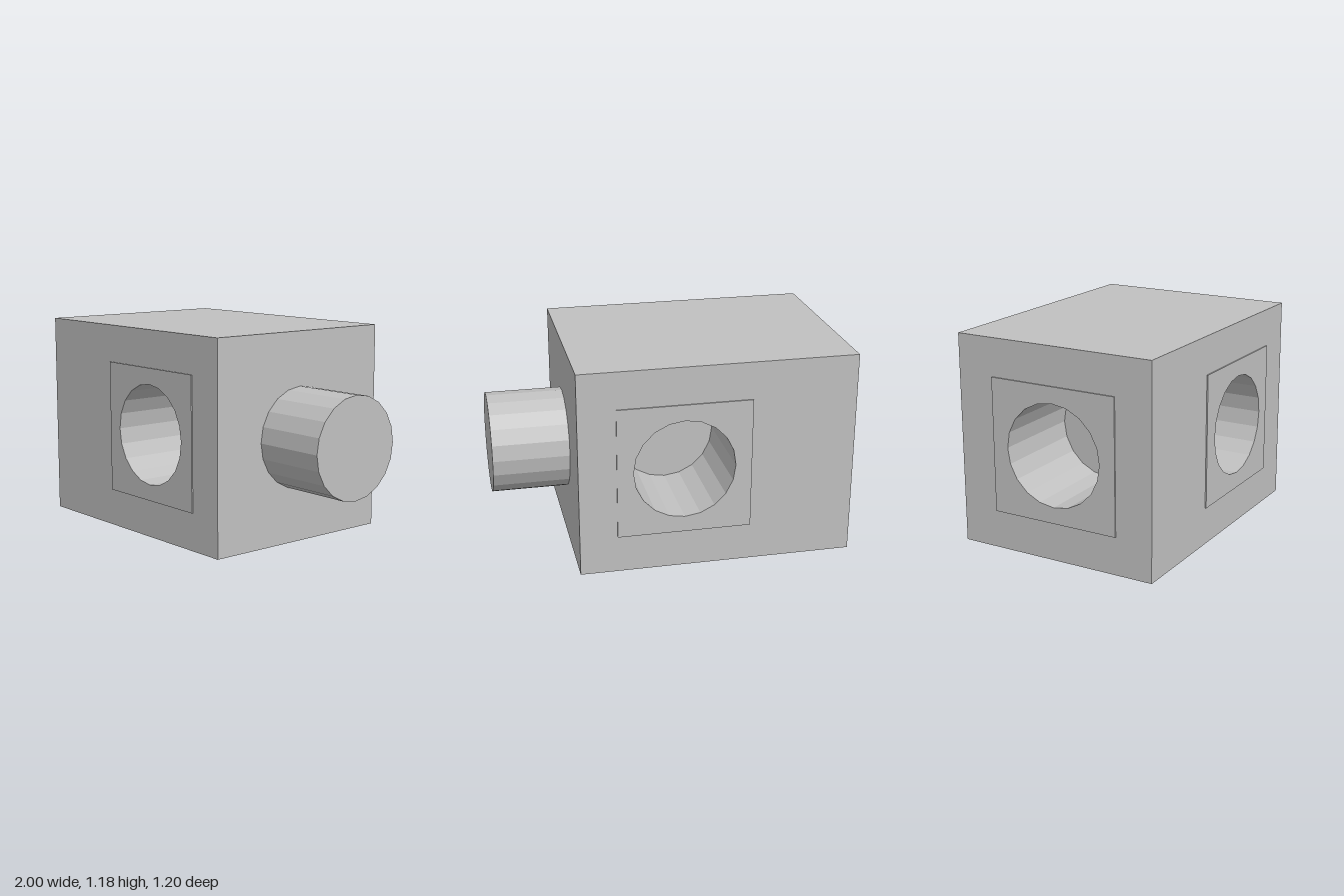
import * as THREE from 'three';

const X0 = -0.993, X1 = 0.568, H = 1.185, D = 0.592; // body left, right, height, half depth
const CX = -0.022, CY = H / 2, R = 0.287, SIDES = 20;
const PLATE = 0.757, PLATE_T = 0.007, DEPTH = 0.54;

// Rectangle around the origin of the hole, with a polygonal hole cut out
function holedRect(x0, x1, halfHeight) {
  const shape = new THREE.Shape([
    new THREE.Vector2(x0, -halfHeight), new THREE.Vector2(x1, -halfHeight),
    new THREE.Vector2(x1, halfHeight), new THREE.Vector2(x0, halfHeight),
  ]);
  const ring = [];
  for (let i = 0; i < SIDES; i++) {
    const a = -i / SIDES * Math.PI * 2;
    ring.push(new THREE.Vector2(Math.cos(a) * R, Math.sin(a) * R));
  }
  shape.holes.push(new THREE.Path(ring));
  return shape;
}

export function createModel() {
  const model = new THREE.Group();
  model.name = 'connectorBlock';
  const grey = new THREE.MeshStandardMaterial({ color: 0xc0c0c0, flatShading: true });
  grey.name = 'grey';

  const add = (parent, name, geometry) => {
    const mesh = new THREE.Mesh(geometry, grey);
    mesh.name = name;
    parent.add(mesh);
    return mesh;
  };

  // Wall with a raised square plate and a blind round socket, facing local +z
  function socketWall(name, x0, x1) {
    const group = new THREE.Group();
    group.name = name;
    add(group, 'wall', new THREE.ShapeGeometry(holedRect(x0, x1, H / 2)));
    add(group, 'plate', new THREE.ExtrudeGeometry(
      holedRect(-PLATE / 2, PLATE / 2, PLATE / 2), { depth: PLATE_T, bevelEnabled: false }));
    // inside-out tube, so its inner surface shows
    const bore = new THREE.CylinderGeometry(R, R, DEPTH, SIDES, 1, true);
    bore.rotateX(Math.PI / 2).scale(-1, 1, 1).translate(0, 0, -DEPTH / 2);
    add(group, 'socketBore', bore);
    add(group, 'socketFloor', new THREE.CircleGeometry(R, SIDES).translate(0, 0, -DEPTH));
    model.add(group);
    return group;
  }
  socketWall('frontSocket', X0 - CX, X1 - CX).position.set(CX, CY, D);
  const back = socketWall('backSocket', CX - X1, CX - X0);
  back.position.set(CX, CY, -D);
  back.rotation.y = Math.PI;
  const end = socketWall('endSocket', -D, D);
  end.position.set(X0, CY, 0);
  end.rotation.y = -Math.PI / 2;

  // Plain faces of the body
  const mid = (X0 + X1) / 2, W = X1 - X0;
  add(model, 'topFace', new THREE.PlaneGeometry(W, 2 * D).rotateX(-Math.PI / 2)).position.set(mid, H, 0);
  add(model, 'bottomFace', new THREE.PlaneGeometry(W, 2 * D).rotateX(Math.PI / 2)).position.set(mid, 0, 0);
  add(model, 'pegFace', new THREE.PlaneGeometry(2 * D, H).rotateY(Math.PI / 2)).position.set(X1, CY, 0);

  // Round peg
  const peg = new THREE.CylinderGeometry(R, R, 1 - X1, SIDES).rotateZ(-Math.PI / 2);
  add(model, 'peg', peg).position.set((1 + X1) / 2, CY, 0);

  return model;
}
